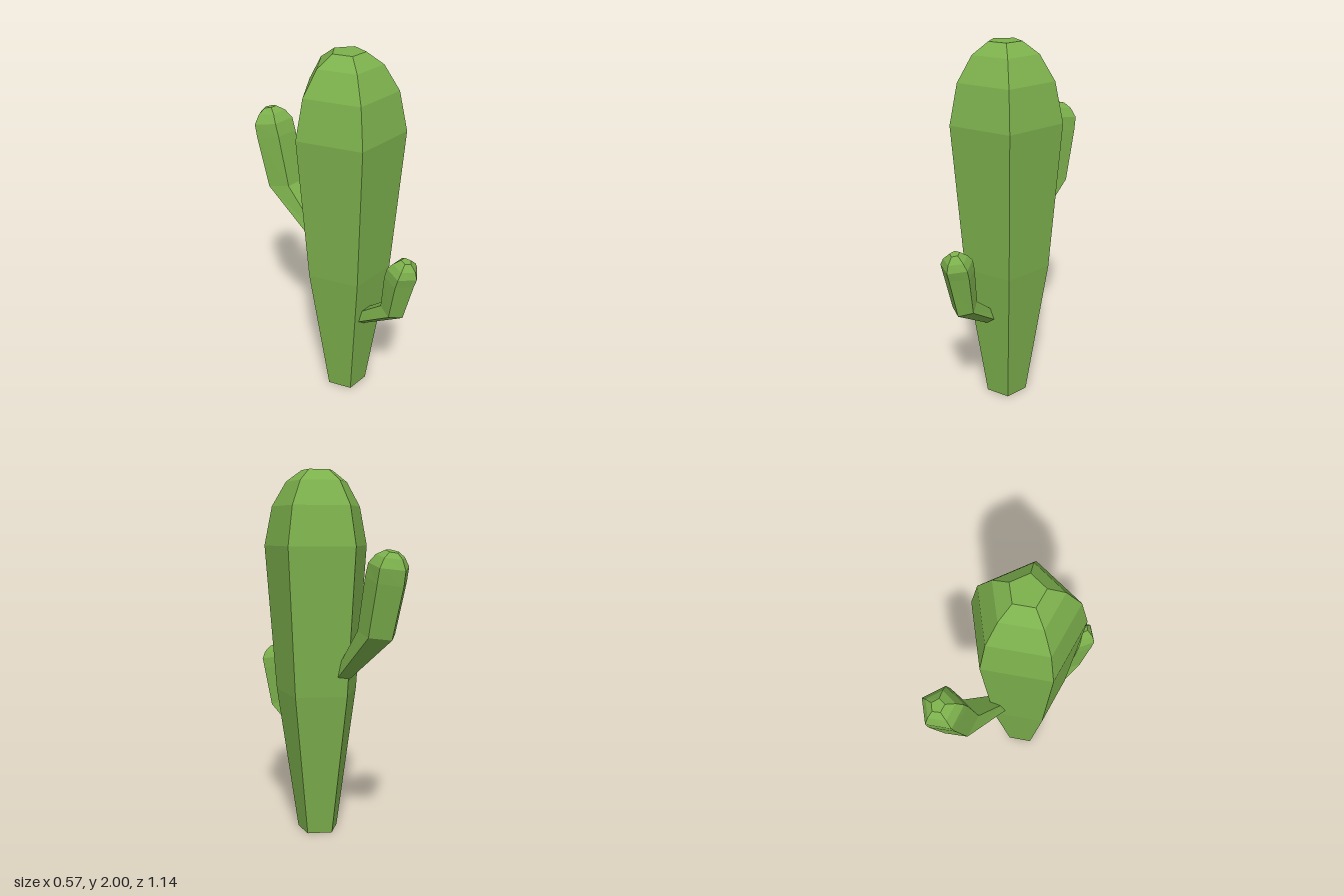
import * as THREE from 'three';

const SIDES = 5;

// Each ring: [ridge z, ridge y, flat z, flat y, radius across x, centre x], listed from bottom to top.
// The ridge is the pentagon's single corner; the flat is its opposite edge.
function pentagonLoft(name, rings, material) {
  const points = rings.map(([rz, ry, fz, fy, radius, cx]) => {
    const side = rz < fz ? 1 : -1;
    return Array.from({ length: SIDES }, (_, k) => {
      const a = (k * Math.PI * 2) / SIDES;
      const t = (1 - Math.cos(a)) / (1 + Math.cos(Math.PI / SIDES));
      return [cx + side * radius * Math.sin(a), ry + (fy - ry) * t, rz + (fz - rz) * t];
    });
  });
  const pos = [];
  const tri = (a, b, c) => pos.push(...a, ...b, ...c);

  // Side walls
  for (let i = 0; i < points.length - 1; i++) {
    for (let k = 0; k < SIDES; k++) {
      const n = (k + 1) % SIDES;
      const a = points[i][k], b = points[i][n], c = points[i + 1][n], d = points[i + 1][k];
      tri(a, d, c);
      tri(a, c, b);
    }
  }
  // End caps
  const bottom = points[0], top = points[points.length - 1];
  for (let k = 1; k < SIDES - 1; k++) {
    tri(bottom[0], bottom[k], bottom[k + 1]);
    tri(top[0], top[k + 1], top[k]);
  }

  const geometry = new THREE.BufferGeometry();
  geometry.setAttribute('position', new THREE.Float32BufferAttribute(pos, 3));
  geometry.computeVertexNormals();
  const mesh = new THREE.Mesh(geometry, material);
  mesh.name = name;
  return mesh;
}

export function createModel() {
  const group = new THREE.Group();
  group.name = 'cactus';
  const green = new THREE.MeshStandardMaterial({ color: 0x7cb04c });
  green.name = 'cactus green';
  green.flatShading = true;

  // Trunk: upright pentagons of [height, radius], ridge to the back
  const trunkZ = 0.078;
  const trunk = [[0, 0.116], [0.8, 0.237], [1.6, 0.299], [1.81, 0.255], [1.94, 0.175], [2, 0.088]]
    .map(([y, r]) => [trunkZ - r, y, trunkZ + r * Math.cos(Math.PI / SIDES), y, r, 0]);
  group.add(pentagonLoft('trunk', trunk, green));

  // Large arm at the back
  group.add(pentagonLoft('backArm', [
    [-0.145, 0.878, -0.095, 0.935, 0.055, -0.008],
    [-0.485, 1.138, -0.3, 1.175, 0.102, 0.006],
    [-0.558, 1.407, -0.357, 1.455, 0.112, 0.006],
    [-0.57, 1.487, -0.378, 1.524, 0.111, 0.006],
    [-0.548, 1.54, -0.41, 1.566, 0.077, 0.006],
    [-0.516, 1.571, -0.452, 1.587, 0.034, 0.006],
  ], green));

  // Small arm at the front
  group.add(pentagonLoft('frontArm', [
    [0.18, 0.452, 0.17, 0.53, 0.048, -0.028],
    [0.495, 0.646, 0.378, 0.693, 0.069, -0.032],
    [0.558, 0.873, 0.405, 0.894, 0.086, -0.035],
    [0.574, 0.921, 0.421, 0.952, 0.087, -0.035],
    [0.563, 0.963, 0.447, 0.984, 0.065, -0.035],
    [0.532, 1.0, 0.482, 1.011, 0.026, -0.035],
  ], green));

  return group;
}
